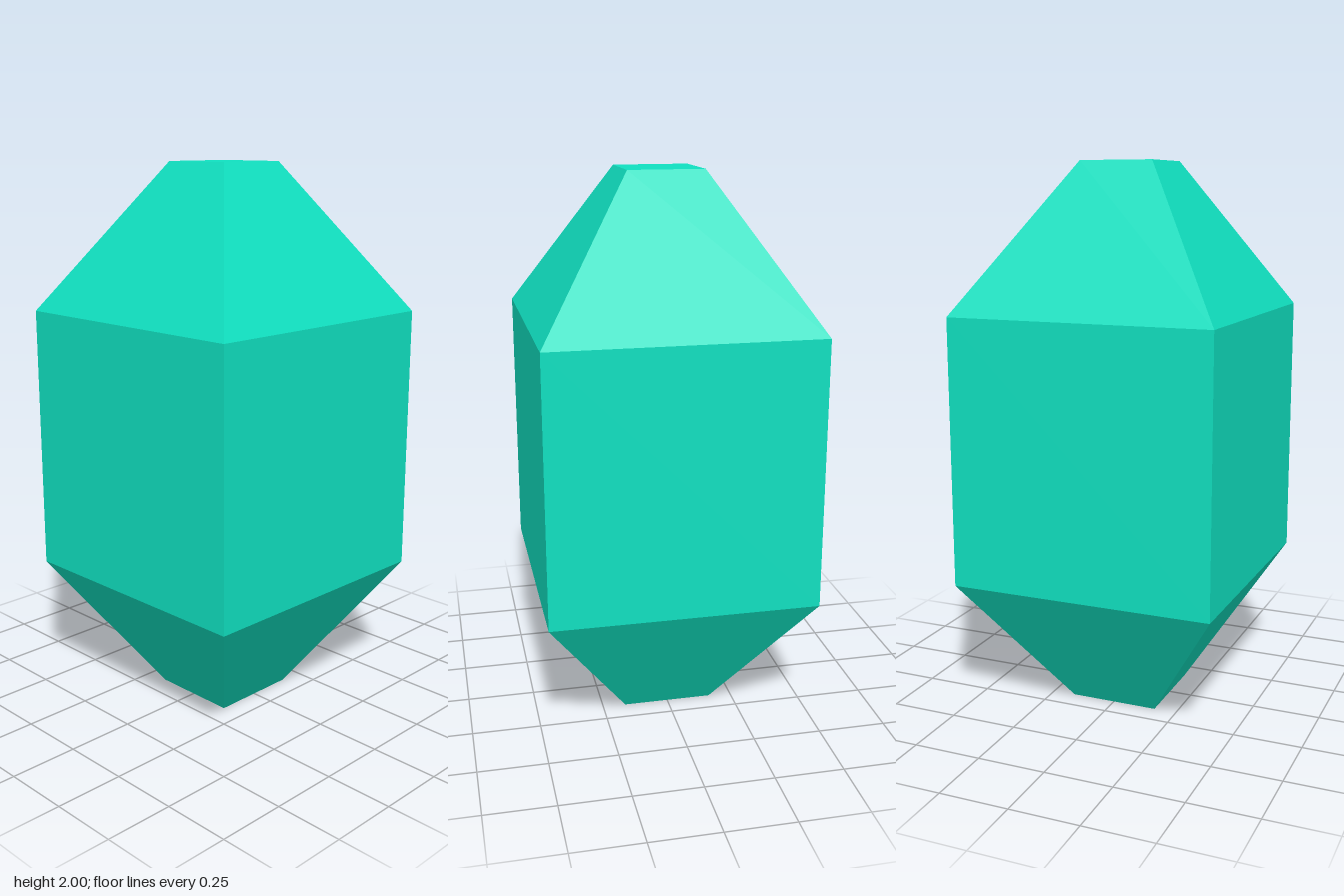
import * as THREE from 'three';

export function createModel() {
  const group = new THREE.Group();
  group.name = 'crystal';

  // Half-widths and heights of the square cross-sections, bottom to top
  const profile = [
    [0, 0], [0.165, 0], [0.484, 0.5], [0.484, 1.47], [0.136, 2], [0, 2],
  ].map(([half, y]) => new THREE.Vector2(half * Math.SQRT2, y));

  // Four-sided turn, rotated so the flat sides face the axes
  const geometry = new THREE.LatheGeometry(profile, 4, Math.PI / 4).toNonIndexed();
  geometry.computeVertexNormals();

  const gem = new THREE.Mesh(
    geometry,
    new THREE.MeshStandardMaterial({ color: 0x10e0c0, flatShading: true })
  );
  gem.name = 'gemBody';
  group.add(gem);
  return group;
}
